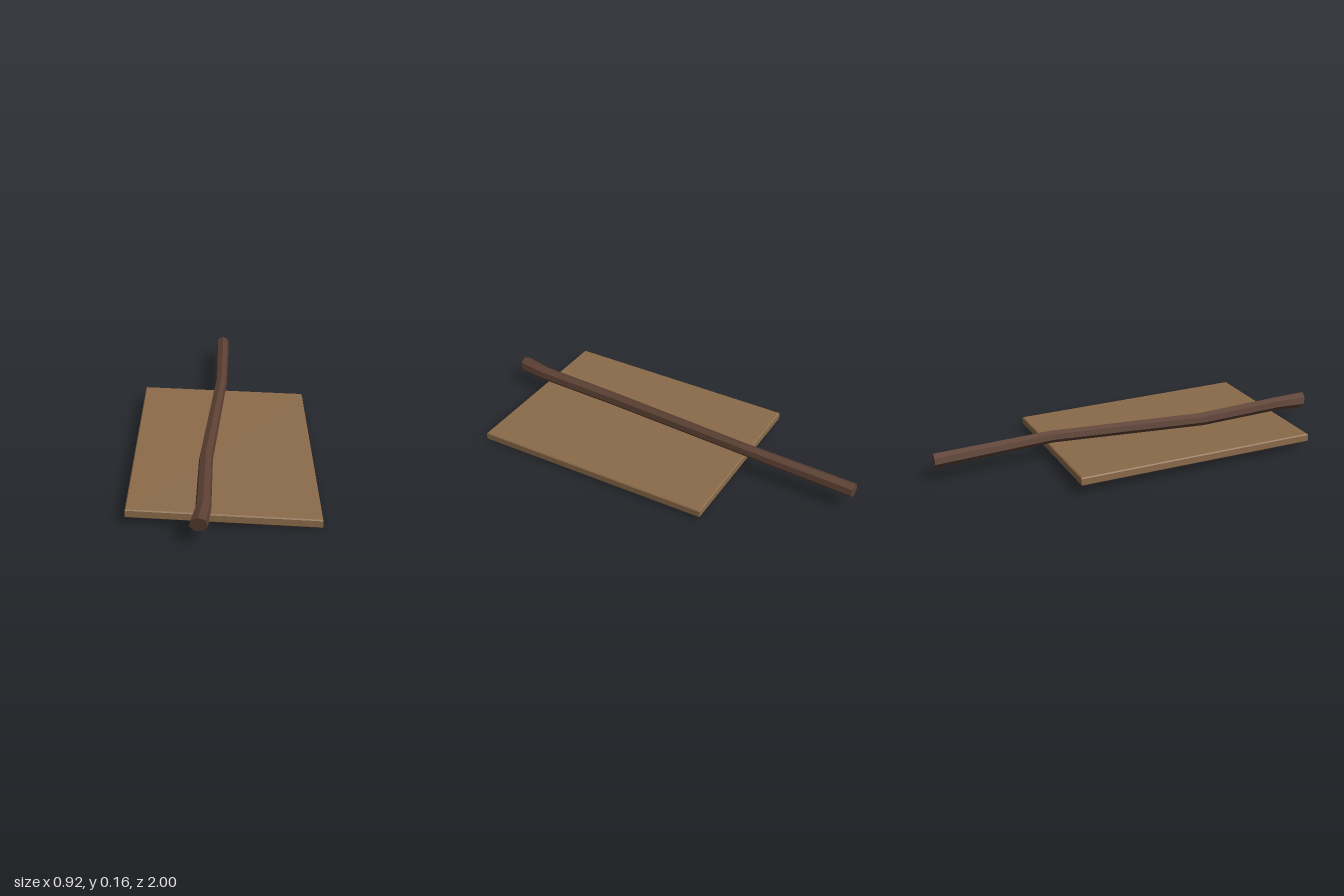
import * as THREE from 'three';

// Flat-faceted closed solid through rings of points, each ring
// counter-clockwise when seen from the last ring's side.
function loft(rings) {
  const pos = [];
  const tri = (...pts) => pts.forEach((p) => pos.push(...p));
  const n = rings[0].length;
  for (let i = 0; i < rings.length - 1; i++) {
    for (let j = 0; j < n; j++) {
      const k = (j + 1) % n;
      const a = rings[i][j], b = rings[i][k], c = rings[i + 1][k], d = rings[i + 1][j];
      tri(a, b, c);
      tri(a, c, d);
    }
  }
  const first = rings[0], last = rings[rings.length - 1];
  for (let j = 1; j < n - 1; j++) {
    tri(first[0], first[j + 1], first[j]);
    tri(last[0], last[j], last[j + 1]);
  }
  const geo = new THREE.BufferGeometry();
  geo.setAttribute('position', new THREE.Float32BufferAttribute(pos, 3));
  geo.computeVertexNormals();
  return geo;
}

export function createModel() {
  const group = new THREE.Group();
  const boardWood = new THREE.MeshStandardMaterial({ name: 'boardWood', color: 0x8b6b4a });
  const stickWood = new THREE.MeshStandardMaterial({ name: 'stickWood', color: 0x5c4033 });

  // Tilted, slightly skewed board with narrow bevels: lower corners, then levels [height, inset]
  const corners = [[-0.417, 0.038, 0.834], [0.457, 0.001, 0.827], [0.395, 0.012, -0.428], [-0.461, 0.049, -0.403]];
  const levels = [[0, 0.005], [0.005, 0], [0.037, 0], [0.042, 0.005]];
  const boardRings = levels.map(([h, inset]) => corners.map(([x, y, z]) => [
    x - Math.sign(x) * inset, y + h, z - Math.sign(z) * inset,
  ]));
  const board = new THREE.Mesh(loft(boardRings), boardWood);
  board.name = 'board';
  group.add(board);

  // Crooked seven-sided stick, back to front: [x, y, z, radius, z slant of the section]
  const path = [
    [-0.065, 0.113, -1, 0.036, 0],
    [-0.047, 0.127, -0.41, 0.031, 0],
    [-0.084, 0.101, 0.4, 0.034, 0],
    [-0.069, 0.11, 0.85, 0.036, 0],
    [-0.081, 0.113, 0.99, 0.042, 0.25],
  ];
  const sides = 7;
  const stickRings = path.map(([x, y, z, r, slant]) => Array.from({ length: sides }, (_, j) => {
    const a = Math.PI / 2 + (j / sides) * Math.PI * 2;
    return [x + r * Math.cos(a), y + r * Math.sin(a), z + slant * r * Math.sin(a)];
  }));
  const stick = new THREE.Mesh(loft(stickRings), stickWood);
  stick.name = 'stick';
  group.add(stick);

  return group;
}
